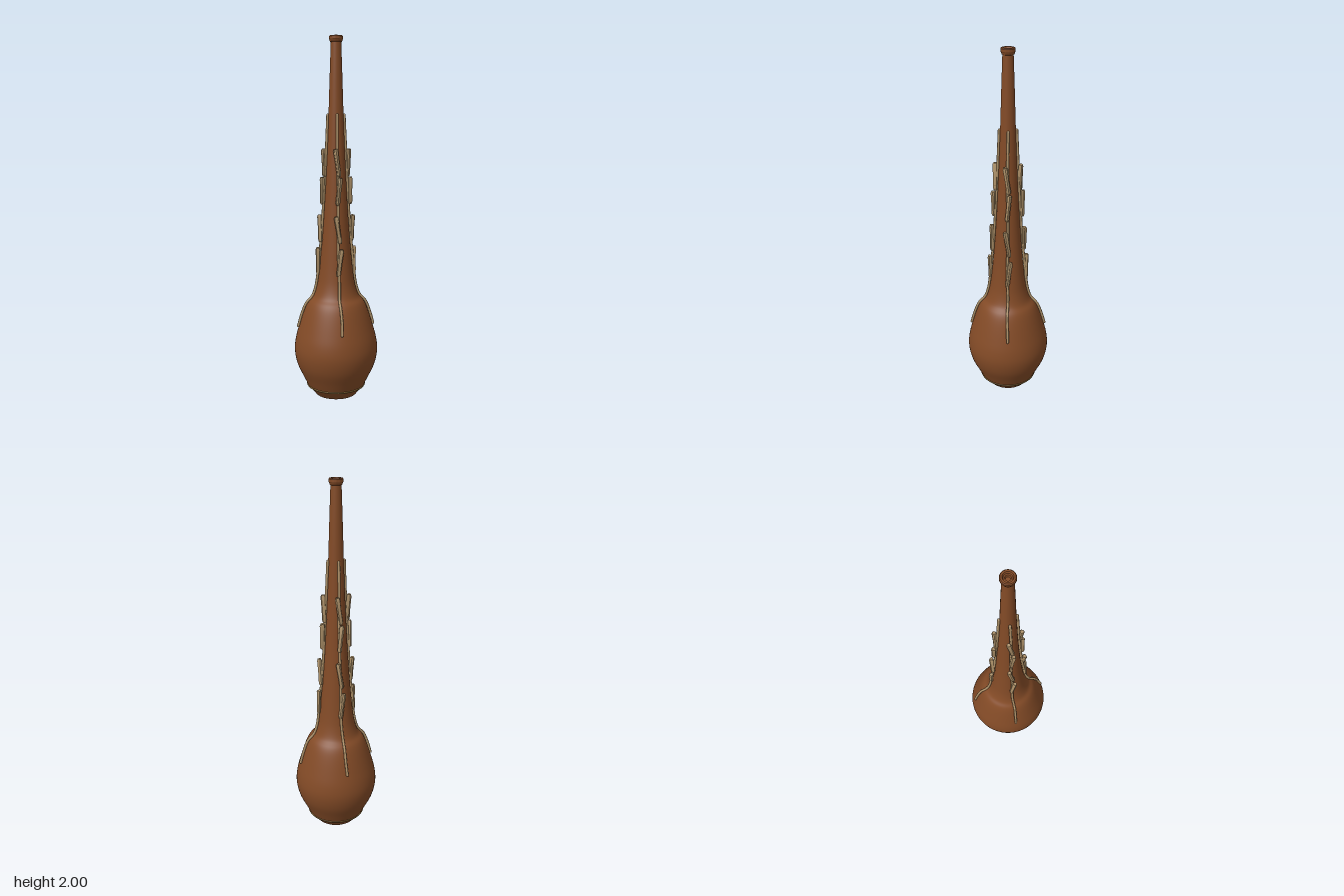
import * as THREE from 'three';
import { toCreasedNormals } from 'three/addons/utils/BufferGeometryUtils.js';

const clay = new THREE.MeshStandardMaterial({ color: 0x824a26 });
clay.name = 'brown clay';
const wood = new THREE.MeshStandardMaterial({ color: 0xac9068 });
wood.name = 'pale wood';
const gold = new THREE.MeshStandardMaterial({ color: 0x94743a });
gold.name = 'dull gold';

function part(name, geometry, material) {
  const mesh = new THREE.Mesh(geometry, material);
  mesh.name = name;
  return mesh;
}

function lathe(points, segments) {
  return new THREE.LatheGeometry(points.map(([r, y]) => new THREE.Vector2(r, y)), segments);
}

// Small faceted pod standing between two points, with worn, bevelled ends
function makePod(from, to, radius, seed) {
  const length = from.distanceTo(to);
  const geometry = lathe([
    [0, 0], [radius * 0.7, 0.002], [radius * 0.95, 0.015], [radius * 0.9, length * 0.5],
    [radius * 1.05, length - 0.012], [radius * 0.75, length - 0.001], [0, length - 0.004],
  ], 9);
  // Uneven ribs around the pod
  const p = geometry.attributes.position;
  for (let i = 0; i < p.count; i++) {
    const angle = Math.atan2(p.getZ(i), p.getX(i));
    const k = 1 + 0.1 * Math.sin(3 * angle + seed);
    p.setXYZ(i, p.getX(i) * k, p.getY(i), p.getZ(i) * k);
  }
  const pod = part('pod', toCreasedNormals(geometry, 0.5), wood);
  pod.position.copy(from);
  pod.quaternion.setFromUnitVectors(new THREE.Vector3(0, 1, 0), to.clone().sub(from).normalize());
  return pod;
}

// One vine on the front: a stem hugging the bottle and four alternating pods
function makeVine(seed) {
  const vine = new THREE.Group();
  vine.name = 'vine';
  const path = [
    [0.216, 0.4], [0.196, 0.47], [0.169, 0.535], [0.134, 0.575], [0.115, 0.63],
    [0.104, 0.7], [0.092, 0.82], [0.08, 0.95], [0.07, 1.1], [0.061, 1.25],
    [0.054, 1.4], [0.046, 1.58],
  ].map(([r, y], i) => new THREE.Vector3(0.002 * Math.sin(i * 1.7 + seed), y, r));
  const stem = new THREE.CatmullRomCurve3(path);
  vine.add(part('stem', new THREE.TubeGeometry(stem, 60, 0.0075, 8, false), wood));
  // Closed stem ends
  for (const end of [path[0], path[path.length - 1]]) {
    const cap = part('stemEnd', new THREE.SphereGeometry(0.0075, 8, 6), wood);
    cap.position.copy(end);
    vine.add(cap);
  }

  // Bottom height, sideways positions of bottom and top, distance from the axis
  const pods = [
    [0.70, -0.004, 0.015, 0.102],
    [0.88, 0.009, -0.015, 0.09],
    [1.09, -0.004, 0.011, 0.079],
    [1.245, 0.008, -0.014, 0.068],
  ];
  pods.forEach(([y, x0, x1, r], i) => {
    vine.add(makePod(new THREE.Vector3(x0, y, r - 0.001), new THREE.Vector3(x1, y + 0.152, r + 0.001), 0.013, seed + i));
  });
  return vine;
}

export function createModel() {
  const model = new THREE.Group();
  model.name = 'bottle';

  // Foot with a shallow recess beneath
  const foot = lathe([[0, 0.018], [0.095, 0.018], [0.102, 0], [0.118, 0], [0.16, 0.05]], 64);
  model.add(part('foot', toCreasedNormals(foot, 0.5), clay));

  // Round belly, shoulder and long tapering neck
  const profile = new THREE.SplineCurve([
    [0.16, 0.05], [0.184, 0.1], [0.219, 0.175], [0.235, 0.25], [0.23, 0.32],
    [0.209, 0.4], [0.18, 0.49], [0.157, 0.54], [0.128, 0.575], [0.109, 0.63],
    [0.097, 0.7], [0.084, 0.82], [0.073, 0.95], [0.063, 1.1], [0.055, 1.25],
    [0.048, 1.4], [0.041, 1.58], [0.034, 1.8], [0.028, 1.97],
  ].map(([r, y]) => new THREE.Vector2(r, y)));
  model.add(part('body', new THREE.LatheGeometry(profile.getPoints(90), 64), clay));

  // Rim with a stepped mouth
  const rim = lathe([
    [0.027, 1.965], [0.033, 1.968], [0.034, 1.976], [0.038, 1.982], [0.038, 1.995], [0.034, 2],
    [0.025, 2], [0.021, 1.99], [0.014, 1.99], [0.012, 1.975], [0.006, 1.975], [0, 1.972],
  ], 40);
  model.add(part('rim', toCreasedNormals(rim, 0.5), clay));

  // Thin band above the foot
  const band = part('footBand', new THREE.TorusGeometry(0.162, 0.005, 8, 64), gold);
  band.rotation.x = Math.PI / 2;
  band.position.y = 0.054;
  model.add(band);

  // Four vines around the bottle
  for (let i = 0; i < 4; i++) {
    const vine = makeVine(i * 1.3);
    vine.rotation.y = i * Math.PI / 2;
    model.add(vine);
  }
  return model;
}
